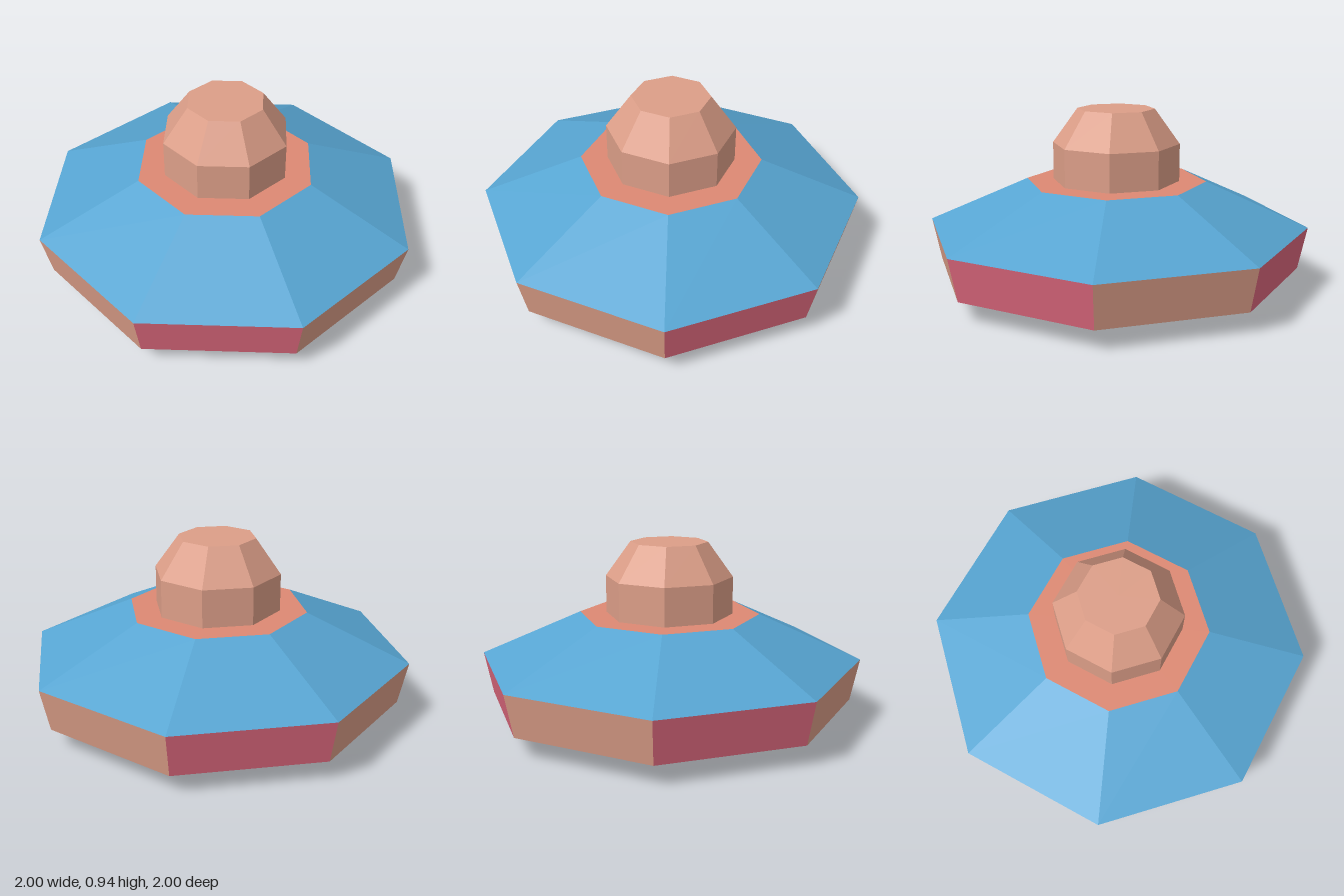
import * as THREE from 'three';

const SIDES = 8;
const STEP = (Math.PI * 2) / SIDES;

function flat(name, color) {
  const m = new THREE.MeshStandardMaterial({ color, flatShading: true });
  m.name = name;
  return m;
}

export function createModel() {
  const blue = flat('hull blue', 0x57a5d2);
  const tan = flat('warm tan', 0xdc9e88);
  const pink = flat('rose', 0xdd687d);
  const coral = flat('coral', 0xdd8973);
  const teal = flat('teal', 0x0ab2d8);

  const model = new THREE.Group();
  model.name = 'saucer';

  // Open eight-sided ring between two radii and heights
  function ring(name, material, rTop, rBottom, yTop, yBottom, start = 0, count = SIDES) {
    const geo = new THREE.CylinderGeometry(
      rTop, rBottom, yTop - yBottom, count, 1, true, start * STEP, count * STEP);
    const mesh = new THREE.Mesh(geo, material);
    mesh.position.y = (yTop + yBottom) / 2;
    mesh.name = name;
    model.add(mesh);
  }

  // Flat octagon facing up or down
  function disc(name, material, radius, y, facing) {
    const geo = new THREE.CircleGeometry(radius, SIDES);
    geo.rotateX(-facing * Math.PI / 2);
    const mesh = new THREE.Mesh(geo, material);
    mesh.position.y = y;
    mesh.name = name;
    model.add(mesh);
  }

  // Hull
  disc('bottomPlate', teal, 0.47, 0.005, -1);
  ring('underside', blue, 0.955, 0.47, 0.11, 0.005);
  ring('upperHull', blue, 0.47, 1, 0.565, 0.33);
  disc('collar', coral, 0.47, 0.565, 1);

  // Rim panels in alternating colours
  for (let i = 0; i < SIDES; i++) {
    ring('rimPanel' + (i + 1), i % 2 ? tan : pink, 1, 0.955, 0.33, 0.11, i, 1);
  }

  // Cabin dome
  ring('domeWall', tan, 0.33, 0.33, 0.76, 0.565);
  ring('domeSlope', tan, 0.2, 0.33, 0.94, 0.76);
  disc('domeTop', tan, 0.2, 0.94, 1);

  return model;
}
